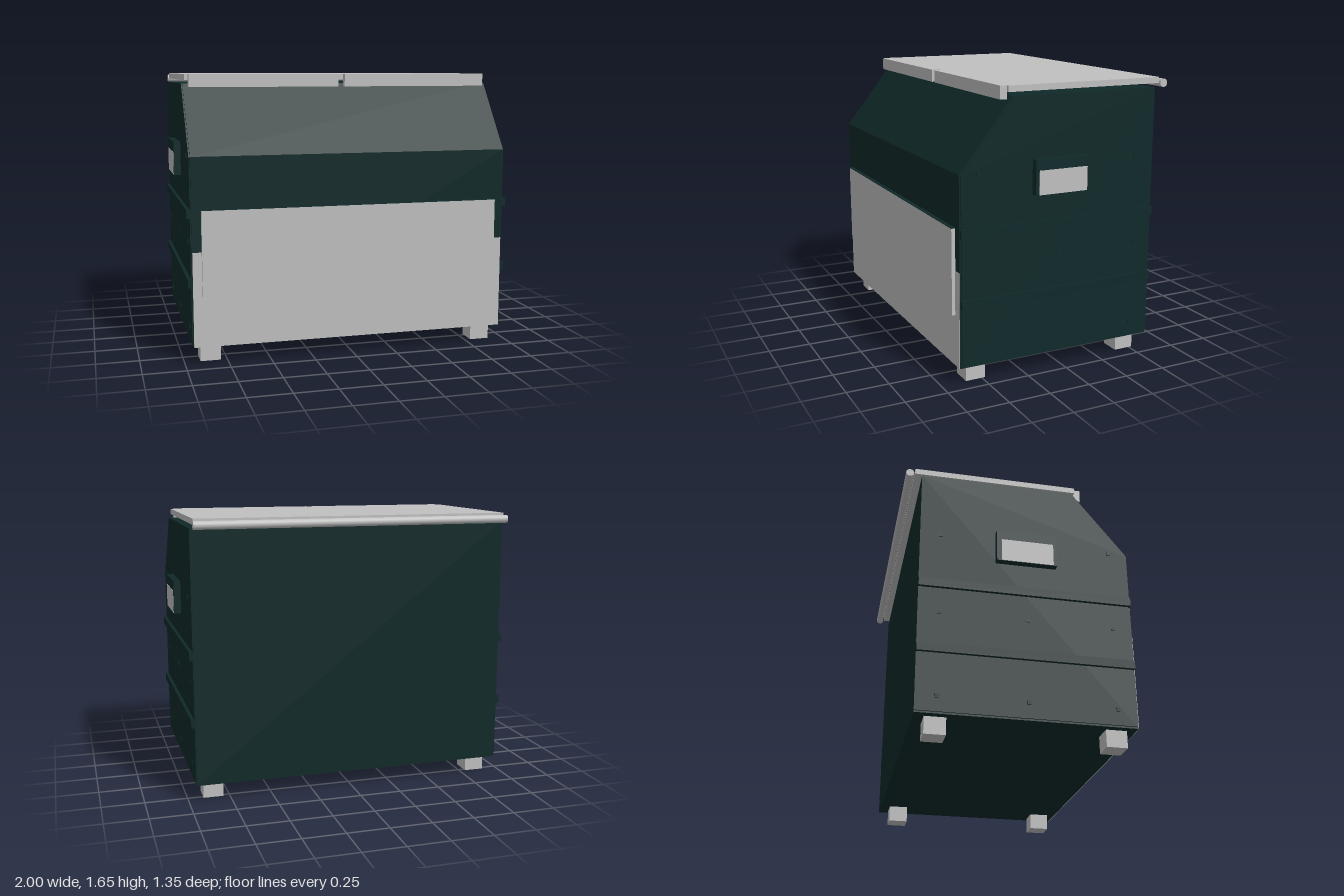
import * as THREE from 'three';

export function createModel() {
  const model = new THREE.Group();
  model.name = 'wasteContainer';

  const green = new THREE.MeshStandardMaterial({ color: 0x0f2929 });
  green.name = 'dark green';
  const grey = new THREE.MeshStandardMaterial({ color: 0xc0c0c0 });
  grey.name = 'light grey';

  const add = (name, geometry, material) => {
    const mesh = new THREE.Mesh(geometry, material);
    mesh.name = name;
    model.add(mesh);
    return mesh;
  };
  // Box given by its limits on each axis
  const box = (name, material, x0, x1, y0, y1, z0, z1) => {
    const mesh = add(name, new THREE.BoxGeometry(Math.abs(x1 - x0), y1 - y0, z1 - z0), material);
    mesh.position.set((x0 + x1) / 2, (y0 + y1) / 2, (z0 + z1) / 2);
    return mesh;
  };
  // Side profile (z, y) extruded across x
  const profile = (name, points, x0, x1) => {
    const shape = new THREE.Shape(points.map(([z, y]) => new THREE.Vector2(-z, y)));
    const geometry = new THREE.ExtrudeGeometry(shape, { depth: x1 - x0, bevelEnabled: false });
    geometry.rotateY(Math.PI / 2);
    geometry.translate(x0, 0, 0);
    return add(name, geometry, green);
  };

  // Body with sloping upper front, and thin cladding on both sides
  profile('body', [[-0.58, 0.1], [0.653, 0.1], [0.653, 1.2], [0.335, 1.6], [-0.58, 1.6]], -0.95, 0.95);
  const cladding = [[-0.58, 0.11], [0.643, 0.11], [0.643, 1.195], [0.325, 1.6], [-0.58, 1.6]];
  profile('leftCladding', cladding, 0.95, 0.957);
  profile('rightCladding', cladding, -0.957, -0.95);

  // Light lower front and raised front panel with dark top edge
  box('lowerFront', grey, -0.948, 0.948, 0.1, 0.655, 0.65, 0.656);
  box('frontPanel', grey, -0.895, 0.895, 0.4, 0.896, 0.65, 0.675);
  box('frontPanelTopEdge', green, -0.895, 0.895, 0.896, 0.9, 0.65, 0.675);

  for (const side of [1, -1]) {
    const label = side > 0 ? 'left' : 'right';

    // Horizontal ribs
    for (const y of [0.45, 0.85]) {
      box(label + 'Rib', green, side * 0.95, side * 0.976, y, y + 0.05, -0.58, 0.65);
    }
    // Lifting pocket with a light face
    box(label + 'Pocket', green, side * 0.95, side * 0.998, 1.05, 1.25, -0.14, 0.213);
    box(label + 'PocketFace', grey, side * 0.994, side * 1.0, 1.052, 1.19, -0.113, 0.192);

    // Bolt heads
    for (const y of [0.2, 0.7, 1.2]) {
      for (const z of [-0.46, 0.04, 0.54]) {
        if (y === 1.2 && z === 0.04) continue;
        box(label + 'Bolt', green, side * 0.95, side * 0.962, y - 0.012, y + 0.012, z - 0.012, z + 0.012);
      }
    }
    // Feet
    for (const z of [0.54, -0.46]) {
      box(label + 'Foot', grey, side * 0.787, side * 0.907, 0, 0.1, z - 0.06, z + 0.06);
    }
    // Front lip of each lid half, leaving notches at the middle and ends
    box(label + 'LidLip', grey, side * 0.02, side * 0.92, 1.58, 1.655, 0.355, 0.395);
  }

  // Lid plate and hinge rod behind it
  box('lid', grey, -0.94, 0.94, 1.62, 1.655, -0.62, 0.355);
  const rod = add('hingeRod', new THREE.CylinderGeometry(0.024, 0.024, 1.89, 24), grey);
  rod.rotation.z = Math.PI / 2;
  rod.position.set(0, 1.62, -0.65);

  return model;
}
